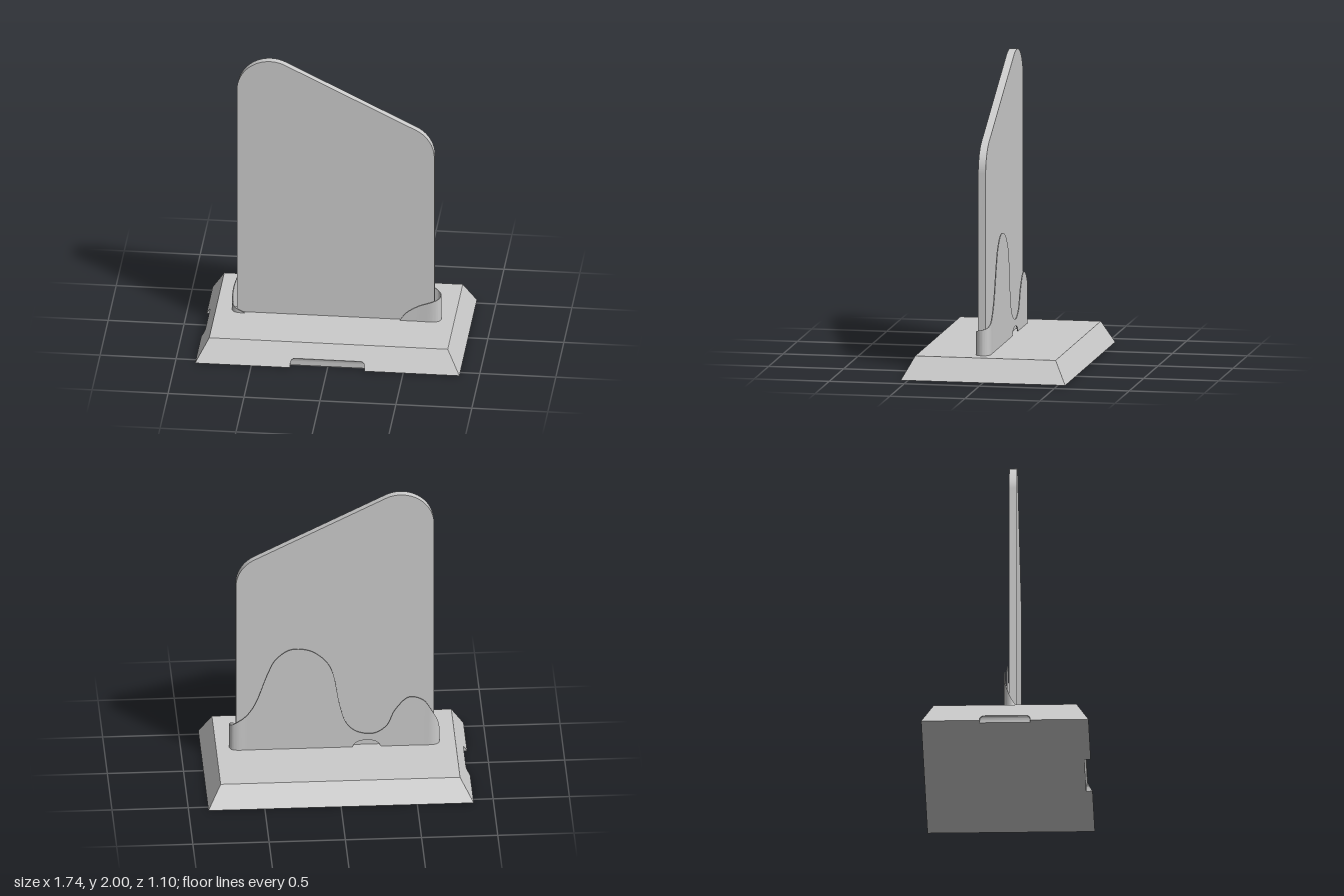
import * as THREE from 'three';
import { toCreasedNormals } from 'three/addons/utils/BufferGeometryUtils.js';

const BASE_TOP = 0.15;
const grey = new THREE.MeshStandardMaterial({ color: 0xcccccc });

function meshFrom(name, positions, indices, crease) {
  const geo = new THREE.BufferGeometry();
  geo.setAttribute('position', new THREE.Float32BufferAttribute(positions, 3));
  geo.setIndex(indices);
  const mesh = new THREE.Mesh(toCreasedNormals(geo, crease), grey);
  mesh.name = name;
  return mesh;
}

// Half width and wall position of a round-cornered notch at height y;
// above the notch the wall lies on the sloping side.
function notch(y, halfWidth, height, outer) {
  const r = 0.03;
  const t = THREE.MathUtils.clamp((y - height + r) / r, 0, 1);
  const c = 1 - Math.sqrt(1 - t * t);
  return { w: halfWidth - r * c, wall: y < height ? outer(height) - 0.012 * (1 - c) : outer(y) };
}

// Bevelled base with finger notches in the front and one end
function makeBase() {
  const halfX = (y) => 0.87 - 0.085 * y / BASE_TOP;
  const halfZ = (y) => 0.548 - 0.08 * y / BASE_TOP;
  const levels = [0, 0.015, BASE_TOP];
  for (const height of [0.055, 0.045]) {
    for (let k = 0; k <= 6; k++) levels.push(height - 0.03 * (1 - Math.sin(k * Math.PI / 12)));
  }
  levels.sort((a, b) => a - b);

  const loops = levels.map((y) => {
    const X = halfX(y), Z = halfZ(y);
    const f = notch(y, 0.245, 0.055, halfZ), s = notch(y, 0.165, 0.045, halfX);
    return [[-X, Z], [-f.w, Z], [-f.w, f.wall], [f.w, f.wall], [f.w, Z], [X, Z],
      [X, -Z], [-X, -Z], [-X, -s.w], [-s.wall, -s.w], [-s.wall, s.w], [-X, s.w]];
  });
  const n = loops[0].length, positions = [], indices = [];
  loops.forEach((loop, j) => loop.forEach(([x, z]) => positions.push(x, levels[j], z)));
  for (let j = 0; j < loops.length - 1; j++) {
    for (let i = 0; i < n; i++) {
      const a = j * n + i, b = j * n + (i + 1) % n;
      indices.push(a, b, b + n, a, b + n, a + n);
    }
  }
  // Underside and top
  const outline = loops[0].map(([x, z]) => new THREE.Vector2(x, -z));
  for (const [a, b, c] of THREE.ShapeUtils.triangulateShape(outline, [])) indices.push(a, c, b);
  const top = (loops.length - 1) * n;
  indices.push(top, top + 5, top + 6, top, top + 6, top + 7);
  return meshFrom('base', positions, indices, 0.4);
}

// Upright panel with a slanted top and rounded upper corners
function makePanel() {
  const r = 0.22, slope = Math.atan2(0.888, 0.46);
  const shape = new THREE.Shape();
  shape.moveTo(-0.645, BASE_TOP - 0.01);
  shape.lineTo(0.655, BASE_TOP - 0.01);
  shape.lineTo(0.655, 1.35);
  shape.absarc(0.435, 1.35, r, 0, slope, false);
  shape.absarc(-0.425, 1.78, r, slope, Math.PI, false);
  shape.closePath();
  const geo = new THREE.ExtrudeGeometry(shape, { depth: 0.05, bevelEnabled: false, curveSegments: 24 });
  geo.translate(0, 0, 0.023);
  const panel = new THREE.Mesh(toCreasedNormals(geo, 0.5), grey);
  panel.name = 'panel';
  return panel;
}

// Thin wavy-topped sheet that wraps behind the panel and around both edges
function makeHolder() {
  const back = [[0.59, 0.40], [0.533, 0.485], [0.45, 0.707], [0.40, 0.81], [0.30, 0.885],
    [0.174, 0.875], [0.073, 0.80], [0.023, 0.71], [-0.027, 0.453], [-0.07, 0.325],
    [-0.135, 0.265], [-0.244, 0.247], [-0.33, 0.30], [-0.386, 0.415], [-0.478, 0.508], [-0.57, 0.485]];
  const r = 0.047, midZ = 0.04;
  const edge = [];
  const add = (x, y, z) => edge.push(new THREE.Vector3(x, y, z));
  // Rounded end: side = +1 or -1, from angle a0 to a1 measured from the front
  const turn = (side, tops, fromFront) => tops.forEach((y, k) => {
    const t = k / (tops.length - 1), a = Math.PI * (fromFront ? t : 1 - t);
    add(side > 0 ? 0.65 + r * Math.sin(a) : -0.63 - r * Math.sin(a), y, midZ + r * Math.cos(a));
  });
  add(0.43, BASE_TOP + 0.001, midZ + r);
  add(0.47, 0.205, midZ + r);
  add(0.55, 0.258, midZ + r);
  turn(1, [0.297, 0.312, 0.32, 0.332, 0.355], true);
  back.forEach(([x, y]) => add(x, y, midZ - r));
  turn(-1, [0.40, 0.33, 0.24, 0.19, 0.17], false);
  add(-0.59, BASE_TOP + 0.001, midZ + r);

  const curve = new THREE.CatmullRomCurve3(edge);
  const steps = 280, half = 0.003, positions = [], indices = [];
  for (let i = 0; i <= steps; i++) {
    const p = curve.getPoint(i / steps), d = curve.getTangent(i / steps);
    const len = Math.hypot(d.x, d.z) || 1;
    const nx = -d.z / len * half, nz = d.x / len * half;
    // Small arched opening at the foot of the back
    const u = (p.x + 0.2) / 0.09;
    const foot = BASE_TOP + (p.z < midZ && Math.abs(u) < 1 ? 0.05 * Math.sqrt(1 - u * u) : 0);
    const top = Math.max(p.y, foot);
    positions.push(p.x + nx, foot, p.z + nz, p.x + nx, top, p.z + nz,
      p.x - nx, top, p.z - nz, p.x - nx, foot, p.z - nz);
    if (i === steps) break;
    for (let k = 0; k < 4; k++) {
      const a = i * 4 + k, b = i * 4 + (k + 1) % 4;
      indices.push(a, b, b + 4, a, b + 4, a + 4);
    }
  }
  const last = steps * 4;
  indices.push(0, 2, 1, 0, 3, 2, last, last + 1, last + 2, last, last + 2, last + 3);
  const holder = meshFrom('holder', positions, indices, 0.6);
  holder.material = grey.clone();
  holder.material.side = THREE.DoubleSide;
  return holder;
}

export function createModel() {
  const model = new THREE.Group();
  model.name = 'displayStand';
  model.add(makeBase(), makePanel(), makeHolder());
  return model;
}
